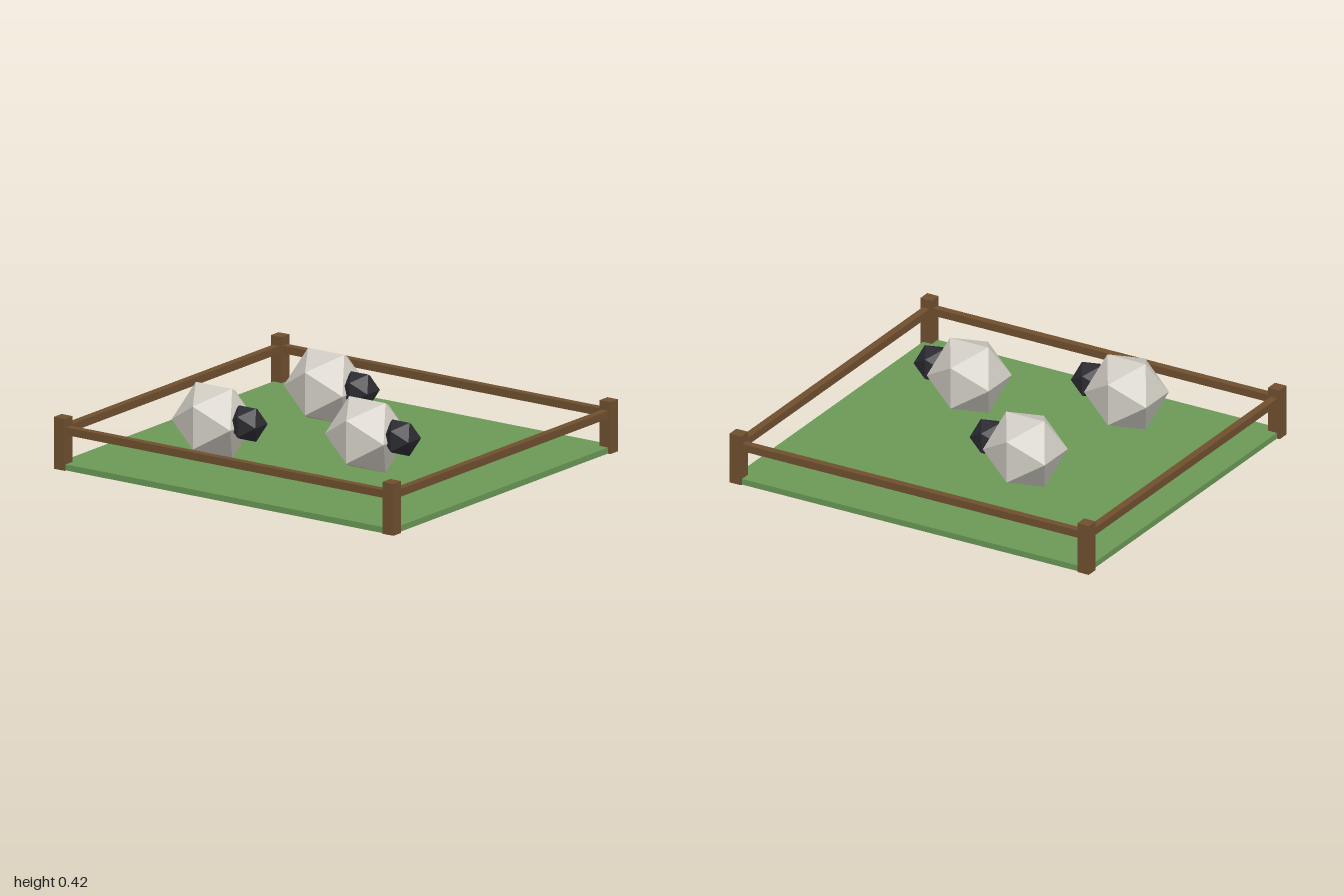
import * as THREE from 'three';

export function createModel() {
  const model = new THREE.Group();
  const material = (name, color, flatShading = false) => {
    const m = new THREE.MeshStandardMaterial({ color, flatShading });
    m.name = name;
    return m;
  };
  const grass = material('grass green', 0x6c9a57);
  const wood = material('wood brown', 0x70502f);
  const wool = material('wool grey', 0xd0ccc3, true);
  const face = material('face black', 0x2b2b31, true);

  const add = (parent, name, geometry, mat, x, y, z) => {
    const mesh = new THREE.Mesh(geometry, mat);
    mesh.name = name;
    mesh.position.set(x, y, z);
    parent.add(mesh);
  };

  // Pasture slab
  add(model, 'pasture', new THREE.BoxGeometry(1.97, 0.03, 1.81), grass, 0, 0.015, 0);

  // Fence: corner posts joined by single rails
  const fence = new THREE.Group();
  fence.name = 'fence';
  model.add(fence);
  const px = 0.968, pz = 0.882;
  const post = new THREE.BoxGeometry(0.064, 0.257, 0.064);
  const longRail = new THREE.BoxGeometry(px * 2, 0.038, 0.038);
  const sideRail = new THREE.BoxGeometry(0.038, 0.038, pz * 2);
  for (const s of [-1, 1]) {
    for (const t of [-1, 1]) add(fence, 'post', post, wood, s * px, 0.1285, t * pz);
    add(fence, 'longRail', longRail, wood, 0, 0.193, s * pz);
    add(fence, 'sideRail', sideRail, wood, s * px, 0.193, 0);
  }

  // Sheep: faceted woolly body with a dark head towards +x
  const bodyShape = new THREE.IcosahedronGeometry(0.203, 0);
  const headShape = new THREE.IcosahedronGeometry(0.097, 0);
  for (const [x, z] of [[-0.37, 0.481], [-0.286, -0.315], [0.368, 0.253]]) {
    const sheep = new THREE.Group();
    sheep.name = 'sheep';
    sheep.position.set(x, 0, z);
    add(sheep, 'woolBody', bodyShape, wool, 0, 0.246, 0);
    add(sheep, 'head', headShape, face, 0.197, 0.262, 0);
    model.add(sheep);
  }
  return model;
}
